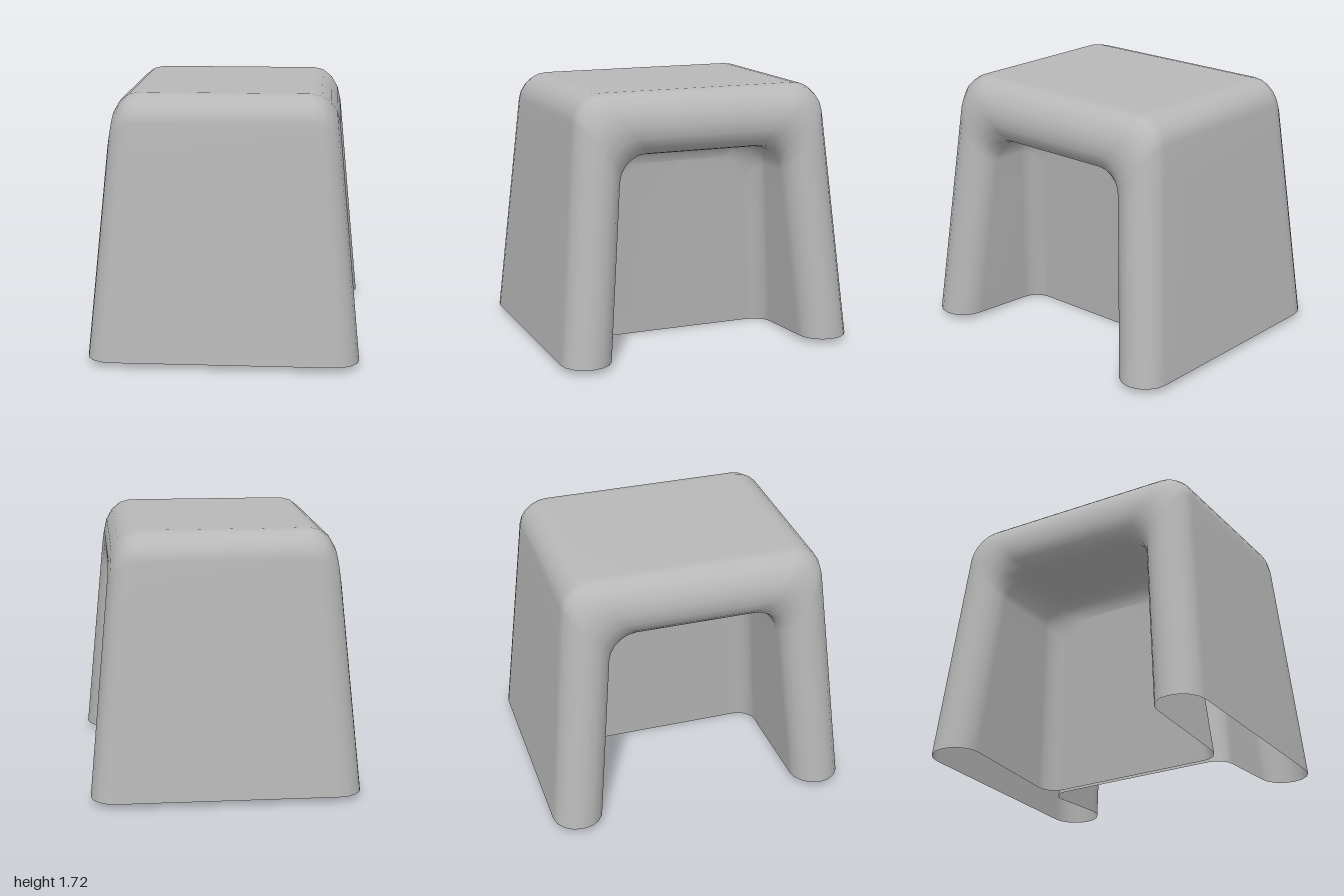
import * as THREE from 'three';

const DRAFT = 0.092;   // how much the walls lean in per unit of height
const WEB_X = 0.13;    // the middle web sits slightly off centre

// Inverted U in the z/y plane: front foot, over the top, down to the back foot.
function arch(halfWidth, height, base, radius) {
  const half = [];
  const cornerZ = halfWidth - DRAFT * (height - base);
  const legTop = height - radius;
  for (let k = 0; k < 6; k++) {
    const y = base + (legTop - base) * k / 6;
    half.push([halfWidth - DRAFT * (y - base), y]);
  }
  const startZ = cornerZ + DRAFT * radius;
  for (let k = 0; k <= 5; k++) {
    const t = k / 5 * Math.PI / 2;
    const a = 1 - Math.sin(t), b = 1 - Math.cos(t);
    half.push([cornerZ + (startZ - cornerZ) * a - radius * b, height - radius * a]);
  }
  half.push([cornerZ * 0.3, height]);
  const back = half.slice().reverse().map(([z, y]) => [-z, y]);
  return [...half, ...back];
}

// Cross-sections of one side, from the middle of the web out to the rounded rim.
function sideSections(side) {
  const webX = (y, out) => WEB_X + side * (0.02 + 0.1 * y + out);
  const rimX = (y, inset) => side * (0.87 - 0.095 * (y - 0.035) - inset);
  const sections = [];
  const fillet = 0.12;

  // Web face and the fillet joining it to the recess walls
  for (let k = 0; k <= 4; k++) {
    const t = k / 4 * Math.PI / 2;
    const shrink = fillet * (1 - Math.sin(t));
    const out = fillet * (1 - Math.cos(t));
    const loop = arch(0.67 - shrink, 1.32 - shrink, 0.05 * out, 0.17)
      .map(([z, y]) => [webX(y, out), y, z]);
    if (k === 0) sections.push(loop.map(([x, y]) => [x, y, 0]));
    sections.push(loop);
  }

  // Rounded rim, from the mouth of the recess to the outer shell
  for (let k = 8; k >= 0; k--) {
    const t = k / 8 * Math.PI;
    const s = (1 - Math.cos(t)) / 2;
    const inset = 0.165 * (1 - Math.sin(t));
    sections.push(arch(1 - 0.33 * s, 1.72 - 0.4 * s, 0.035, 0.17)
      .map(([z, y]) => [rimX(y, inset), y, z]));
  }
  return sections;
}

// Skin neighbouring cross-sections into one smooth sheet.
function loft(sections) {
  const n = sections[0].length;
  const index = [];
  for (let i = 0; i < sections.length - 1; i++) {
    for (let j = 0; j < n - 1; j++) {
      const a = i * n + j, b = a + 1, c = a + n, d = c + 1;
      index.push(a, b, c, b, d, c);
    }
  }
  const geometry = new THREE.BufferGeometry();
  geometry.setAttribute('position', new THREE.Float32BufferAttribute(sections.flat(2), 3));
  geometry.setIndex(index);
  geometry.computeVertexNormals();
  return geometry;
}

export function createModel() {
  const grey = new THREE.MeshStandardMaterial({ color: 0xb8b8b8, side: THREE.DoubleSide });
  grey.name = 'grey plastic';

  // Seat, legs, recesses and web are one moulded shell, open underneath
  const sections = [...sideSections(1), ...sideSections(-1).reverse()];
  const shell = new THREE.Mesh(loft(sections), grey);
  shell.name = 'stoolShell';

  const group = new THREE.Group();
  group.name = 'stool';
  group.add(shell);
  return group;
}
